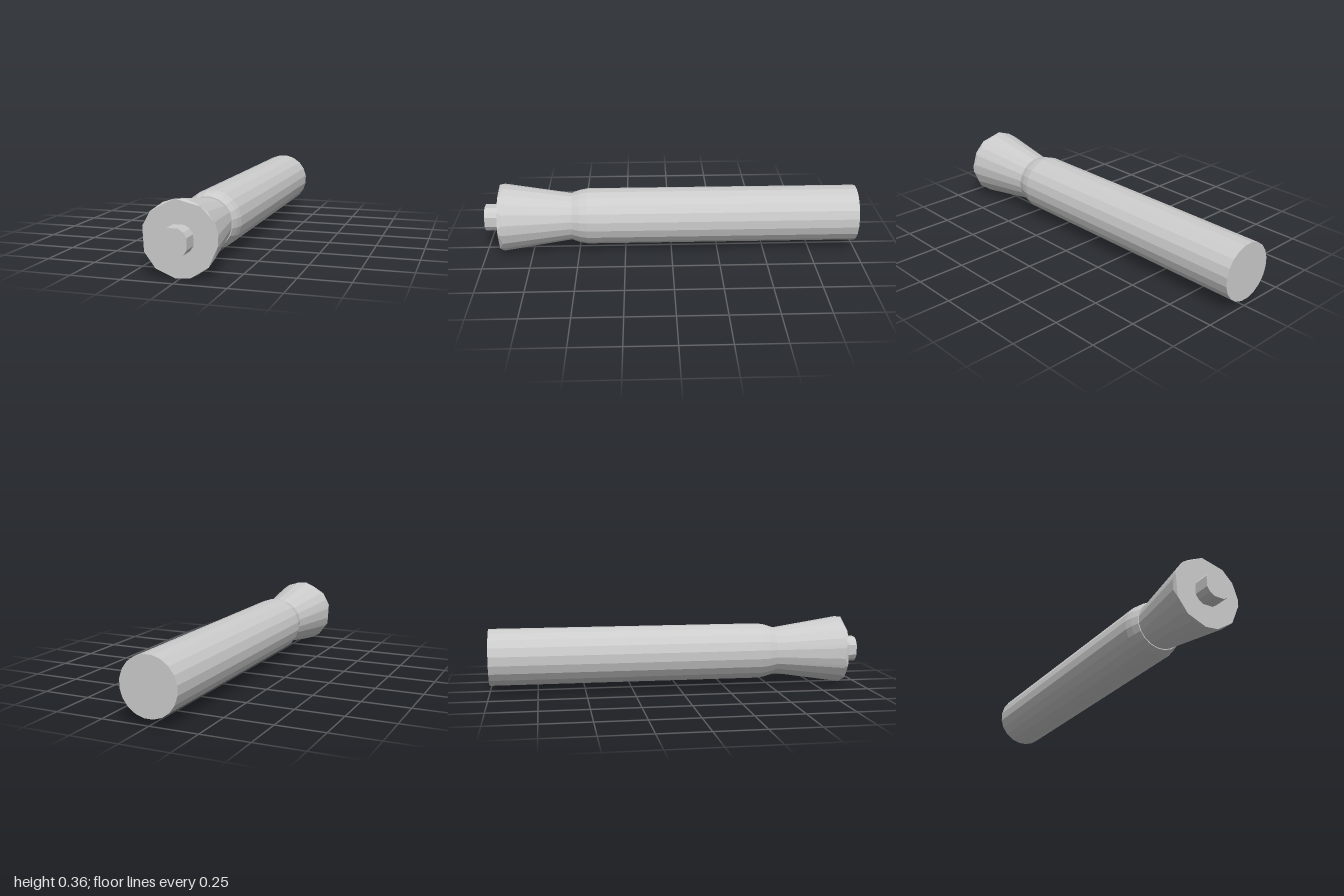
import * as THREE from 'three';
import { ConvexGeometry } from 'three/addons/geometries/ConvexGeometry.js';

const AXIS_Y = 0.183;
const SIDES = 20;

// Points around the z axis at the given angles in degrees
const ring = (angles, radius, z) => angles.map((a) => {
  const t = THREE.MathUtils.degToRad(a);
  return new THREE.Vector3(Math.cos(t) * radius, Math.sin(t) * radius, z);
});
const evenAngles = Array.from({ length: SIDES }, (_, i) => (i + 0.5) * 360 / SIDES);

export function createModel() {
  const group = new THREE.Group();
  const material = new THREE.MeshStandardMaterial({ color: 0xcccccc, flatShading: true });

  const add = (name, geometry) => {
    const mesh = new THREE.Mesh(geometry, material);
    mesh.name = name;
    mesh.position.y = AXIS_Y;
    group.add(mesh);
  };

  // Long handle with a rounded shoulder at the neck, profile is [radius, z]
  const profile = [[0, -1], [0.15, -1], [0.15, 0.45], [0.143, 0.49], [0.13, 0.53], [0, 0.53]];
  const handle = new THREE.LatheGeometry(profile.map(([r, z]) => new THREE.Vector2(r, z)), SIDES, Math.PI / SIDES);
  add('handle', handle.rotateX(Math.PI / 2));

  // Flared head: round rim with an irregular, chipped front face
  const faceAngles = [5, 32, 57, 96, 139, 164, 202, 231, 264, 286, 319, 354];
  add('flaredHead', new ConvexGeometry([
    ...ring(evenAngles, 0.125, 0.53),
    ...ring(evenAngles, 0.181, 0.895),
    ...ring(faceAngles, 0.183, 0.915),
  ]));

  // Front pin: square with rounded corners
  const pinAngles = [0, 90, 180, 270].flatMap((a) => [a + 22, a + 45, a + 68]);
  add('frontPin', new ConvexGeometry([
    ...ring(pinAngles, 0.072, 0.88),
    ...ring(pinAngles, 0.072, 1),
  ]));

  return group;
}
